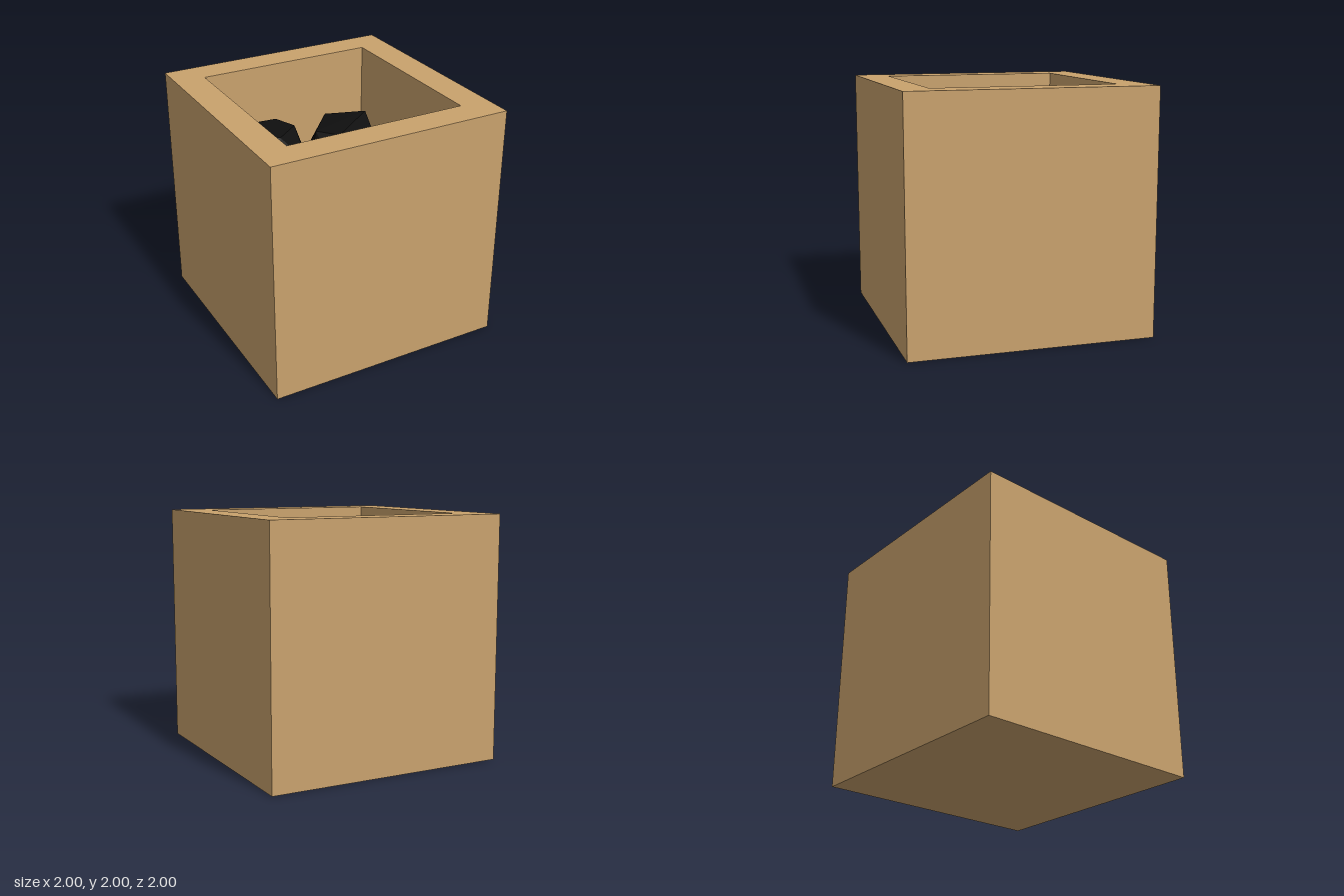
import * as THREE from 'three';
import { ConvexGeometry } from 'three/addons/geometries/ConvexGeometry.js';

const wood = new THREE.MeshStandardMaterial({ color: 0xc9a26d });
wood.name = 'tan wood';
const coal = new THREE.MeshStandardMaterial({ color: 0x0f0f0f });
coal.name = 'coal black';

// Square open box: a four-sided lathe of the wall section
function makeBox() {
  const outer = Math.SQRT2, inner = 0.75 * Math.SQRT2;
  const section = [[0, 0], [outer, 0], [outer, 2], [inner, 2], [inner, 0.25], [0, 0.25]]
    .map(([r, y]) => new THREE.Vector2(r, y));
  const geometry = new THREE.LatheGeometry(section, 4, Math.PI / 4).toNonIndexed();
  geometry.computeVertexNormals();
  const mesh = new THREE.Mesh(geometry, wood);
  mesh.name = 'box';
  return mesh;
}

// Faceted lump: widest around its outline, narrowing to a tilted top and bottom
function makeLump(name, outline, bottom, top, seed) {
  let state = seed;
  const random = () => (state = (state * 16807) % 2147483647) / 2147483647;
  const cx = outline.reduce((s, p) => s + p[0], 0) / outline.length;
  const cz = outline.reduce((s, p) => s + p[1], 0) / outline.length;
  const height = top - bottom;
  const points = [];
  outline.forEach(([x, z], i) => {
    const ring = (scale, y) =>
      points.push(new THREE.Vector3(cx + (x - cx) * scale, y, cz + (z - cz) * scale));
    ring(1, bottom + height * (0.4 + 0.25 * random()));
    if (i % 2 === 0) {
      ring(0.6 + 0.15 * random(), top - 0.1 * height * random());
      ring(0.6 + 0.15 * random(), bottom + 0.1 * height * random());
    }
  });
  const mesh = new THREE.Mesh(new ConvexGeometry(points), coal);
  mesh.name = name;
  return mesh;
}

// Plan outlines [x, z] of the upper lumps, with top heights
const upper = {
  BackLeft: { top: 1.6, outline: [[-0.74, -0.52], [-0.63, -0.71], [-0.48, -0.745], [-0.23, -0.745],
    [-0.1, -0.67], [0, -0.52], [-0.03, -0.33], [-0.12, -0.13], [-0.31, -0.08], [-0.7, -0.16], [-0.74, -0.25]] },
  BackRight: { top: 1.6, outline: [[-0.13, -0.14], [0, -0.49], [0.24, -0.68], [0.73, -0.5],
    [0.64, -0.35], [0.52, -0.02], [0.02, 0.13]] },
  FrontLeft: { top: 1.52, outline: [[-0.71, 0.14], [-0.62, 0.02], [-0.42, -0.14], [-0.16, -0.08],
    [-0.04, 0], [-0.04, 0.2], [-0.11, 0.48], [-0.21, 0.69], [-0.29, 0.745], [-0.57, 0.745], [-0.68, 0.6]] },
  FrontRight: { top: 1.54, outline: [[-0.1, 0.15], [0.02, 0.05], [0.48, 0], [0.59, 0.09],
    [0.67, 0.21], [0.69, 0.47], [0.66, 0.65], [0.48, 0.72], [0.34, 0.68], [0.1, 0.62], [-0.08, 0.37]] },
};

// Plan outlines of the lower lumps, mostly hidden beneath
const lower = {
  BackLeft: [[-0.73, -0.42], [-0.6, -0.68], [-0.25, -0.72], [-0.05, -0.5], [-0.13, -0.2], [-0.68, -0.18]],
  BackRight: [[0.03, -0.42], [0.25, -0.62], [0.74, -0.5], [0.72, -0.22], [0.65, -0.13], [0.1, -0.06]],
  FrontLeft: [[-0.66, 0.2], [-0.4, -0.04], [-0.12, 0.02], [-0.14, 0.45], [-0.3, 0.7], [-0.6, 0.73], [-0.68, 0.69]],
  FrontRight: [[0, 0.2], [0.45, 0.04], [0.64, 0.18], [0.68, 0.5], [0.45, 0.68], [0.12, 0.58]],
};

export function createModel() {
  const model = new THREE.Group();
  model.name = 'boxOfCoal';
  model.add(makeBox());

  // Two layers of four lumps resting on the floor of the box
  Object.entries(upper).forEach(([key, { top, outline }], i) => {
    model.add(makeLump('upperLump' + key, outline, 0.86, top, 101 + i * 5737));
    model.add(makeLump('lowerLump' + key, lower[key], 0.25, 0.95, 977 + i * 7919));
  });
  return model;
}
